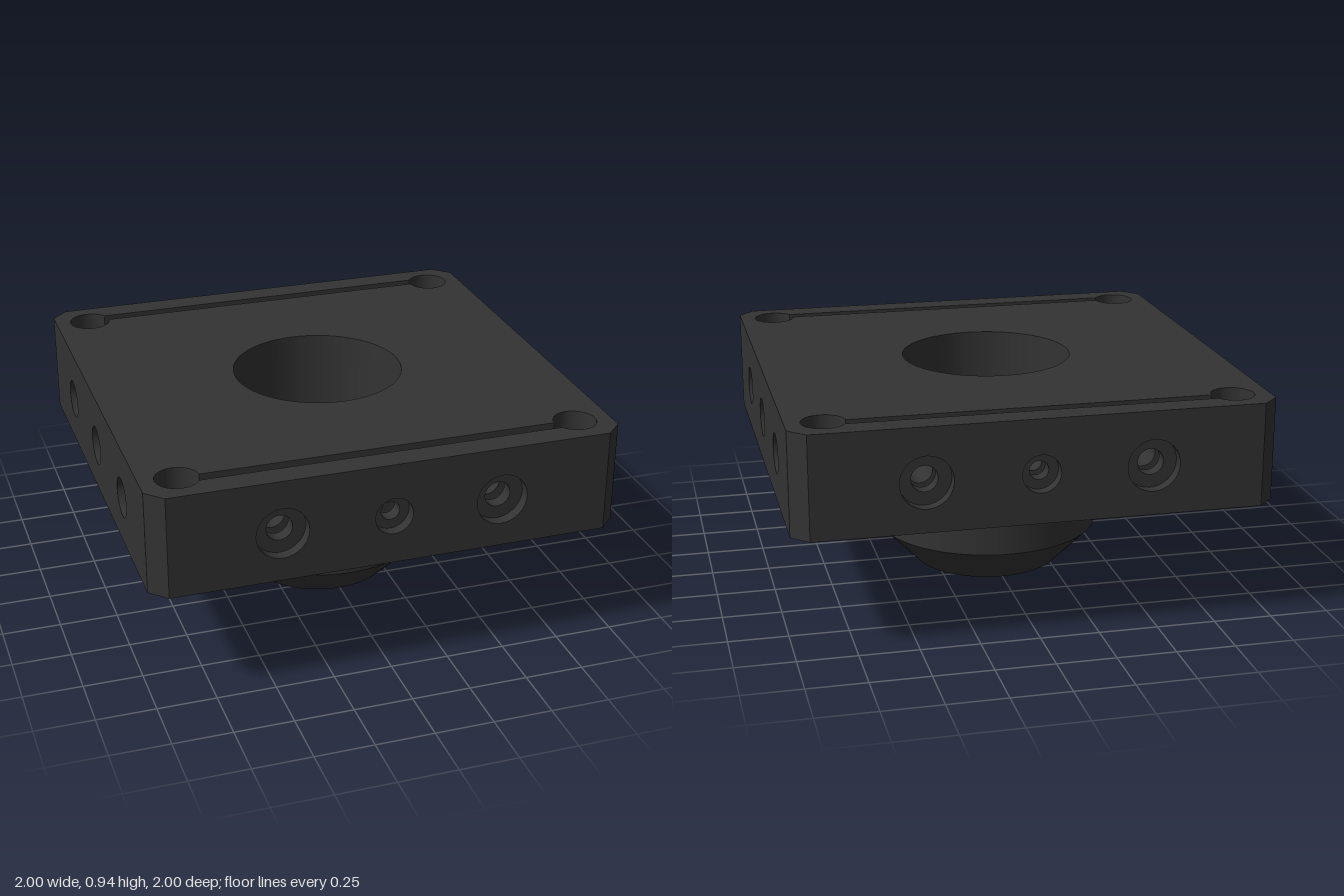
import * as THREE from 'three';

const Y0 = 0.5, Y1 = 0.94, BORE_Y = 0.71;      // plate bottom, top, side bore height
const EDGE = 0.93;                             // half length of a side between chamfers
const PIN = 0.845, PIN_R = 0.09;               // corner holes
const SLOT_IN = 0.84, SLOT_OUT = 0.89;         // slot walls
const aOut = Math.asin((SLOT_OUT - PIN) / PIN_R);
const aIn = Math.asin((SLOT_IN - PIN) / PIN_R);
const SWEEP = 2 * Math.PI - (aOut - aIn);

// Open surfaces, so both sides are shown
const material = new THREE.MeshStandardMaterial({ color: 0x333333, side: THREE.DoubleSide });

function add(parent, name, geometry) {
  const mesh = new THREE.Mesh(geometry, material);
  mesh.name = name;
  parent.add(mesh);
  return mesh;
}

function circle(x, y, r) {
  return new THREE.Path().absarc(x, y, r, 0, Math.PI * 2, false);
}

// Upright flat wall facing +z, pierced by round holes [x, radius]
function wall(halfWidth, holes = []) {
  const s = new THREE.Shape([
    new THREE.Vector2(-halfWidth, Y0), new THREE.Vector2(halfWidth, Y0),
    new THREE.Vector2(halfWidth, Y1), new THREE.Vector2(-halfWidth, Y1),
  ]);
  for (const [x, r] of holes) s.holes.push(circle(x, BORE_Y, r));
  return new THREE.ShapeGeometry(s, 16);
}

// Sharp-edged turned surface: one smooth band per profile segment
function turned(parent, name, profile, segments) {
  const group = new THREE.Group();
  group.name = name;
  for (let i = 0; i + 1 < profile.length; i++) {
    const pts = [profile[i], profile[i + 1]].map(p => new THREE.Vector2(...p));
    add(group, name + 'Band', new THREE.LatheGeometry(pts, segments));
  }
  parent.add(group);
  return group;
}

// Bore running inward along z
function bore(parent, name, x, profile) {
  const g = turned(parent, name, profile, 32);
  g.rotation.x = Math.PI / 2;
  g.position.set(x, BORE_Y, 0);
}

// Chamfered square with the centre hole and the slots joining the corner holes
function plateFace(centreRadius) {
  const s = new THREE.Shape([
    [EDGE, -1], [1, -EDGE], [1, EDGE], [EDGE, 1],
    [-EDGE, 1], [-1, EDGE], [-1, -EDGE], [-EDGE, -1],
  ].map(p => new THREE.Vector2(...p)));
  s.holes.push(circle(0, 0, centreRadius));
  const slot = new THREE.Path()
    .absarc(PIN, PIN, PIN_R, Math.PI - aIn, 3 * Math.PI - aOut, false)
    .absarc(-PIN, PIN, PIN_R, aOut, 2 * Math.PI + aIn, false);
  const pts = slot.getPoints(24);
  s.holes.push(new THREE.Path(pts));
  s.holes.push(new THREE.Path(pts.map(p => new THREE.Vector2(-p.x, -p.y))));
  return new THREE.ShapeGeometry(s, 32);
}

// Front or back edge: outer face, slot, corner holes and bores
function slottedEdge() {
  const g = new THREE.Group();
  g.name = 'slottedEdge';
  const bores = [[-0.465, 0.11, 0.055], [0, 0.08, 0.04], [0.465, 0.11, 0.055]];
  const small = bores.map(([x, , r]) => [x, r]);
  add(g, 'edgeFace', wall(EDGE, bores.map(([x, R]) => [x, R])));
  g.children[0].position.z = 1;
  const outer = add(g, 'slotOuterWall', wall(PIN - PIN_R * Math.cos(aOut), small));
  outer.position.z = SLOT_OUT;
  outer.rotation.y = Math.PI;
  add(g, 'slotInnerWall', wall(PIN - PIN_R * Math.cos(aIn), small)).position.z = SLOT_IN;
  for (const [x, R, r] of bores) {
    bore(g, 'counterbore', x, [[R, 1], [R, 0.95], [r, 0.95], [r, SLOT_OUT]]);
    bore(g, 'threadedBore', x, [[r, SLOT_IN], [r, 0.6], [0, 0.6]]);
  }
  for (const side of [1, -1]) {
    const start = side > 0 ? Math.PI / 2 - (3 * Math.PI - aOut) : Math.PI / 2 - (2 * Math.PI + aIn);
    const hole = new THREE.CylinderGeometry(PIN_R, PIN_R, Y1 - Y0, 48, 1, true, start, SWEEP);
    add(g, 'cornerHole', hole).position.set(side * PIN, (Y0 + Y1) / 2, PIN);
  }
  return g;
}

// Left or right edge: outer face and three bores
function plainEdge() {
  const g = new THREE.Group();
  g.name = 'sideEdge';
  const xs = [-0.505, 0, 0.505];
  add(g, 'edgeFace', wall(EDGE, xs.map(x => [x, 0.085]))).position.z = 1;
  for (const x of xs) {
    bore(g, 'sideBore', x, [[0.085, 1], [0.085, 0.92], [0.04, 0.92], [0.04, 0.68], [0, 0.68]]);
  }
  return g;
}

export function createModel() {
  const model = new THREE.Group();
  model.name = 'mountingPlate';

  // Plate top and underside
  add(model, 'plateTop', plateFace(0.37).rotateX(-Math.PI / 2)).position.y = Y1;
  add(model, 'plateUnderside', plateFace(0.49).rotateX(Math.PI / 2)).position.y = Y0;

  // Four edges and the chamfers between them
  for (let i = 0; i < 4; i++) {
    const edge = i % 2 ? plainEdge() : slottedEdge();
    edge.rotation.y = i * Math.PI / 2;
    model.add(edge);
    const a = Math.PI / 4 + i * Math.PI / 2;
    const d = (1 + EDGE) / Math.SQRT2;
    const chamfer = add(model, 'cornerChamfer', wall((1 - EDGE) / Math.SQRT2));
    chamfer.position.set(Math.sin(a) * d, 0, Math.cos(a) * d);
    chamfer.rotation.y = a;
  }

  // Hollow central sleeve with a tapered nose and an inner lip
  turned(model, 'sleeve', [
    [0.37, Y1], [0.37, 0.17], [0.325, 0.125], [0.325, 0], [0.49, 0.17], [0.49, Y0],
  ], 96);

  return model;
}
